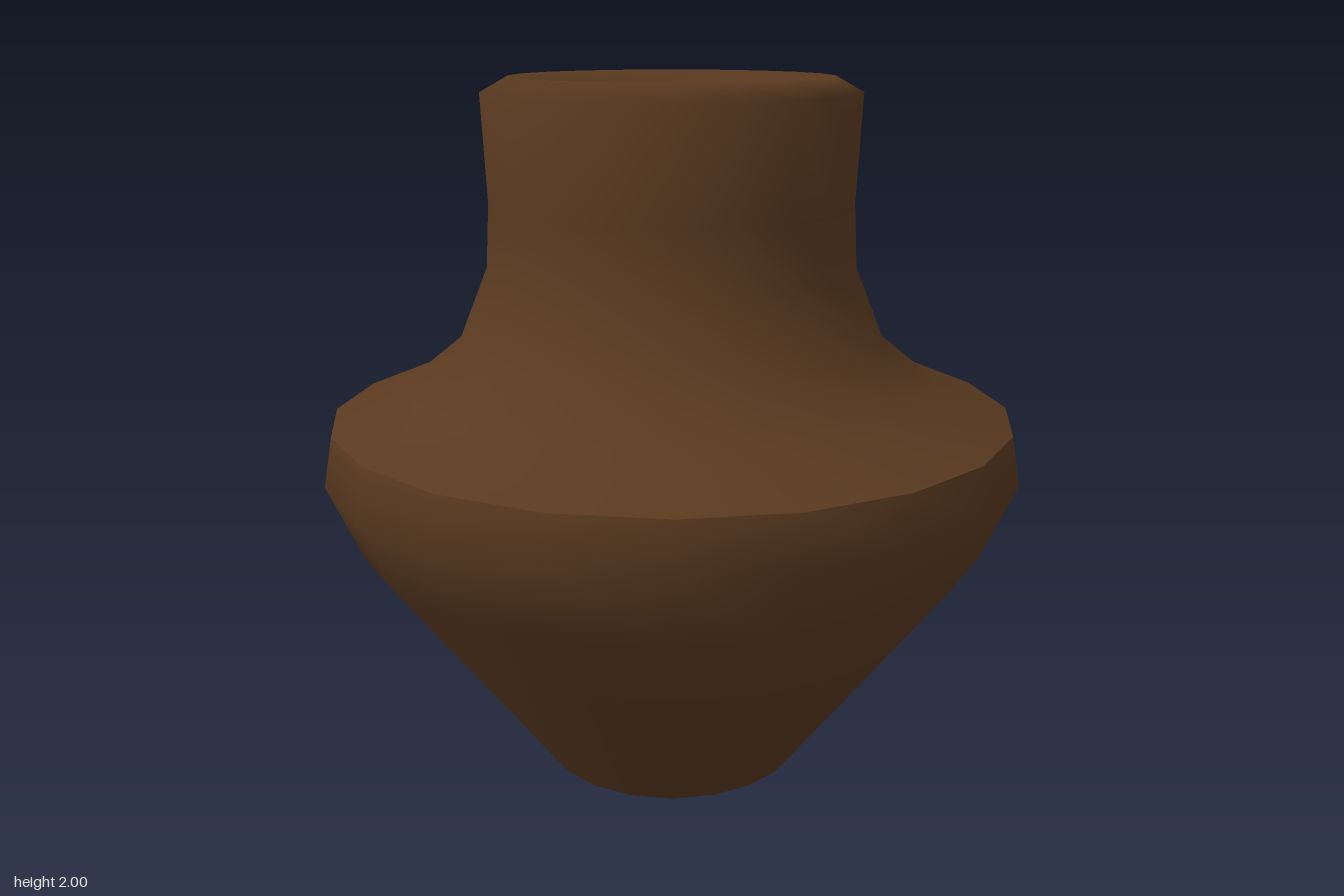
import * as THREE from 'three';

const SIDES = 20;
const clay = new THREE.MeshStandardMaterial({ color: 0x5a3a20 });
const dark = new THREE.MeshStandardMaterial({ color: 0x2a2622 });

// Revolve a [radius, height] profile; each part is smooth, with sharp edges between parts
function turned(name, profile, material) {
  const points = profile.map(([r, y]) => new THREE.Vector2(r, y));
  const mesh = new THREE.Mesh(new THREE.LatheGeometry(points, SIDES), material);
  mesh.name = name;
  return mesh;
}

export function createModel() {
  const pot = new THREE.Group();
  pot.name = 'pot';
  pot.add(
    // flat underside
    turned('base', [[0, 0], [0.38, 0]], clay),
    // flaring belly up to the shoulder edge
    turned('belly', [[0.38, 0], [0.905, 0.7], [1, 0.915], [0.975, 1.055]], clay),
    // shoulder, neck and rounded lip
    turned('shoulderAndNeck', [
      [0.975, 1.055], [0.76, 1.145], [0.605, 1.27], [0.525, 1.47], [0.515, 1.65],
      [0.53, 1.955], [0.45, 2], [0.385, 1.96], [0.36, 1.88],
    ], clay),
    // hollow inside
    turned('innerWall', [[0.36, 1.88], [0.33, 1.6], [0.3, 0.12]], dark),
    turned('innerFloor', [[0.3, 0.12], [0, 0.12]], dark),
  );
  return pot;
}
